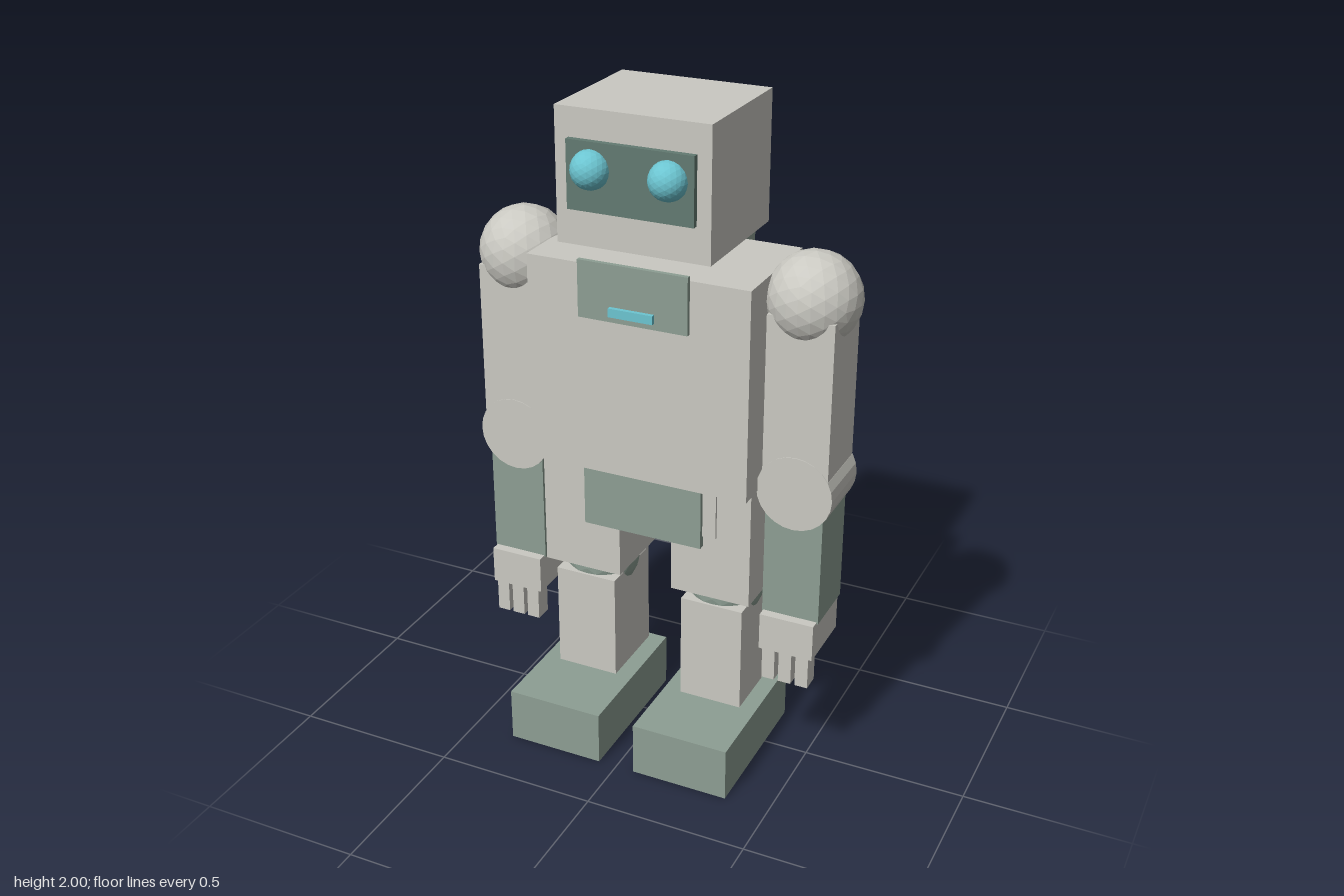
import * as THREE from 'three';

const material = (name, color, flatShading = true) => {
  const m = new THREE.MeshStandardMaterial({ color });
  m.name = name;
  m.flatShading = flatShading;
  return m;
};

export function createModel() {
  const shell = material('pale grey shell', 0xcac9c2);
  const green = material('grey green', 0x8d9e93);
  const dark = material('dark visor green', 0x637b72);
  const cyan = material('cyan glow', 0x6cc5d1);

  const robot = new THREE.Group();
  robot.name = 'robot';

  const add = (parent, name, geometry, mat, x, y, z) => {
    const mesh = new THREE.Mesh(geometry, mat);
    mesh.name = name;
    mesh.position.set(x, y, z);
    parent.add(mesh);
    return mesh;
  };
  // Box given by its extents along each axis
  const box = (parent, name, mat, [x0, x1], [y0, y1], [z0, z1]) =>
    add(parent, name, new THREE.BoxGeometry(x1 - x0, y1 - y0, z1 - z0), mat,
      (x0 + x1) / 2, (y0 + y1) / 2, (z0 + z1) / 2);
  const ball = (parent, name, mat, r, x, y, z) =>
    add(parent, name, new THREE.IcosahedronGeometry(r, 3), mat, x, y, z);
  const group = (name) => {
    const g = new THREE.Group();
    g.name = name;
    robot.add(g);
    return g;
  };

  // Head hovers just above the torso
  const head = group('head');
  box(head, 'skull', shell, [-0.231, 0.231], [1.614, 2], [-0.236, 0.173]);
  box(head, 'visor', dark, [-0.189, 0.189], [1.72, 1.916], [0.173, 0.191]);

  // Body
  const body = group('body');
  box(body, 'torso', shell, [-0.342, 0.342], [0.916, 1.556], [-0.221, 0.155]);
  box(body, 'backpack', green, [-0.158, 0.158], [1.197, 1.595], [-0.317, -0.17]);
  box(body, 'chestPanel', green, [-0.168, 0.168], [1.405, 1.575], [0.167, 0.181]);
  box(body, 'chestLight', cyan, [-0.068, 0.068], [1.425, 1.451], [0.181, 0.194]);
  box(body, 'pelvis', shell, [-0.231, 0.231], [0.75, 0.95], [-0.172, 0.112]);
  box(body, 'hipGuard', green, [-0.189, 0.189], [0.715, 0.94], [-0.186, 0.126]);

  for (const [label, s] of [['left', 1], ['right', -1]]) {
    const span = (a, b) => (s > 0 ? [a, b] : [-b, -a]);

    ball(head, label + 'Eye', cyan, 0.056, s * 0.115, 1.84, 0.192);

    // Arm
    const arm = group(label + 'Arm');
    ball(arm, 'shoulder', shell, 0.136, s * 0.453, 1.49, -0.034);
    box(arm, 'upperArm', shell, span(0.354, 0.552), [0.93, 1.462], [-0.132, 0.07]);
    const elbow = add(arm, 'elbow', new THREE.CylinderGeometry(0.115, 0.115, 0.207, 24),
      shell, s * 0.453, 0.93, -0.031);
    elbow.rotation.x = Math.PI / 2;
    box(arm, 'forearm', green, span(0.365, 0.541), [0.516, 0.93], [-0.124, 0.065]);
    box(arm, 'palm', shell, span(0.369, 0.537), [0.405, 0.522], [-0.113, 0.094]);
    for (const offset of [-0.053, 0, 0.053]) {
      const x = 0.453 + offset;
      box(arm, 'finger', shell, span(x - 0.02, x + 0.02), [0.305, 0.41], [0.036, 0.093]);
    }

    // Leg
    const leg = group(label + 'Leg');
    box(leg, 'thigh', shell, span(0.085, 0.337), [0.544, 0.95], [-0.164, 0.104]);
    ball(leg, 'knee', green, 0.114, s * 0.21, 0.525, -0.03);
    box(leg, 'shin', shell, span(0.112, 0.31), [0.16, 0.507], [-0.151, 0.089]);
    box(leg, 'foot', green, span(0.058, 0.362), [0, 0.168], [-0.17, 0.314]);
  }
  return robot;
}
